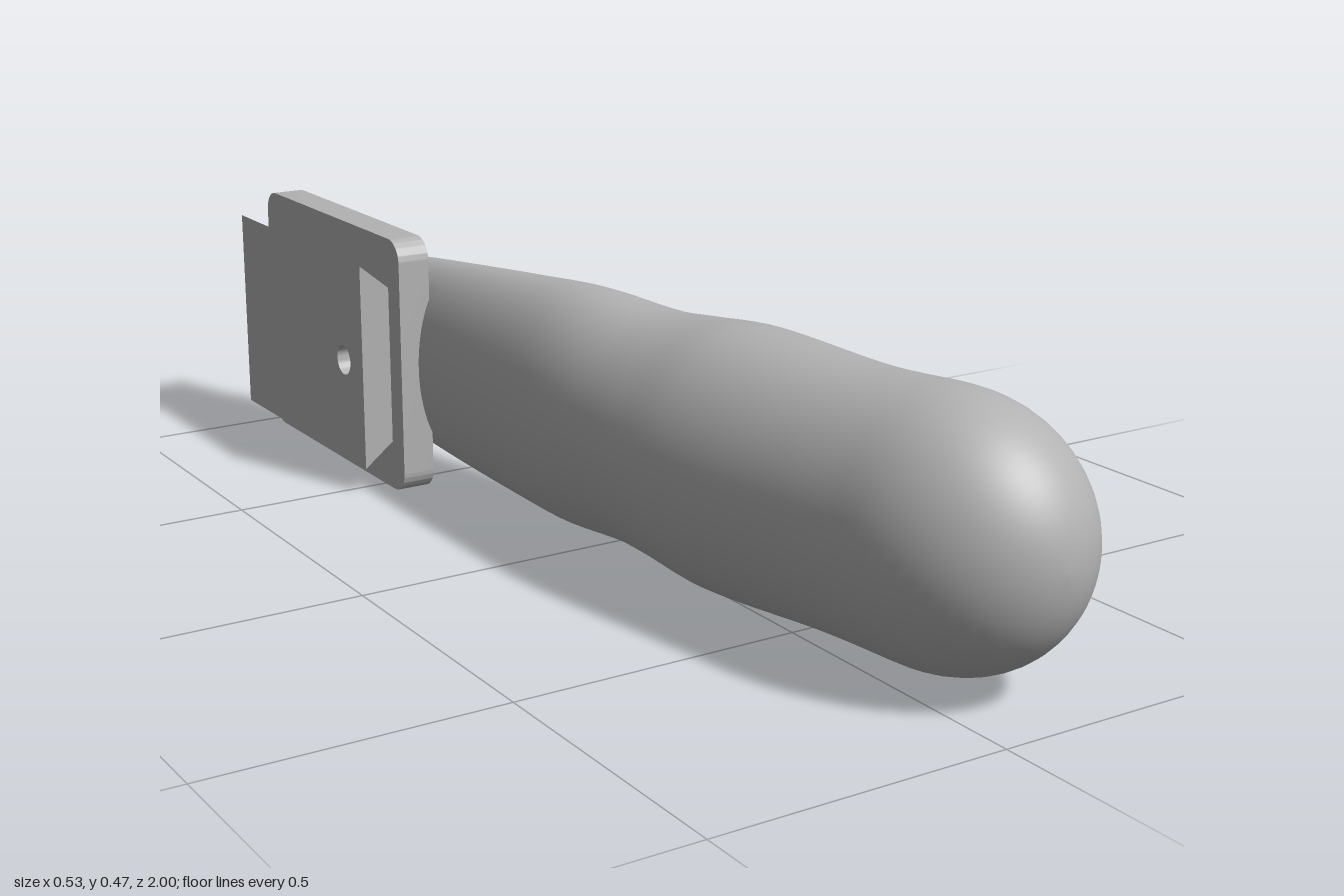
import * as THREE from 'three';
import { toCreasedNormals } from 'three/addons/utils/BufferGeometryUtils.js';

const MID_Y = 0.2375, HOLE_Z = -0.545, BORE_R = 0.073, SCREW_R = 0.028;

// Grip stations: z, left edge x, right edge x, half height
const STATIONS = [
  [-0.97, -0.175, -0.13, 0.098], [-0.9, -0.175, -0.112, 0.124], [-0.8, -0.175, -0.08, 0.141],
  [-0.6, -0.175, -0.022, 0.168], [-0.4, -0.175, 0.015, 0.188], [-0.2, -0.175, 0.06, 0.204],
  [-0.04, -0.176, 0.103, 0.213], [0.13, -0.177, 0.158, 0.204], [0.22, -0.177, 0.19, 0.21],
  [0.35, -0.168, 0.203, 0.223], [0.6, -0.128, 0.228, 0.213], [0.75, -0.105, 0.259, 0.217],
  [1, -0.082, 0.278, 0.217],
];
const CAP_Z = 0.75;

// Smooth interpolation of one station column
function column(z, c) {
  const S = STATIONS, last = S.length - 1;
  let i = 0;
  while (i < last - 1 && z > S[i + 1][0]) i++;
  const slope = k => {
    const a = S[Math.max(k - 1, 0)], b = S[Math.min(k + 1, last)];
    return (b[c] - a[c]) / (b[0] - a[0]);
  };
  const d = S[i + 1][0] - S[i][0], t = (z - S[i][0]) / d, t2 = t * t, t3 = t2 * t;
  return S[i][c] * (2 * t3 - 3 * t2 + 1) + S[i + 1][c] * (3 * t2 - 2 * t3)
    + d * (slope(i) * (t3 - 2 * t2 + t) + slope(i + 1) * (t3 - t2));
}

// Elliptical section at z, closing to a rounded tip at the front
function section(z) {
  const l = column(z, 1), r = column(z, 2);
  const t = Math.max(0, (z - CAP_Z) / (1 - CAP_Z));
  const k = Math.sqrt(Math.max(0, 1 - Math.pow(t, 2.2)));
  return { x: (l + r) / 2, a: k * (r - l) / 2, b: k * column(z, 3) };
}

// Grip skin with a round opening on each side for the screw
function gripGeometries() {
  const N = 64, zs = [], pos = [], idx = [], wallPos = [], wallIdx = [];
  for (let j = 0; j <= 86; j++) zs.push(-0.97 + j * 0.02);
  for (let k = 1; k <= 16; k++) zs.push(CAP_Z + (1 - CAP_Z) * Math.sin(k / 16 * Math.PI / 2));
  const vert = (i, j) => j * N + ((i + N) % N);
  for (const z of zs) {
    const s = section(z);
    for (let i = 0; i < N; i++) {
      const th = i / N * Math.PI * 2;
      pos.push(s.x + s.a * Math.cos(th), MID_Y + s.b * Math.sin(th), z);
    }
  }
  const W = 9, J0 = 15, J1 = 27;
  const inWindow = (i, j) => j >= J0 && j < J1 &&
    (i < W || i >= N - W || (i >= N / 2 - W && i < N / 2 + W));
  for (let j = 0; j < zs.length - 1; j++) for (let i = 0; i < N; i++) {
    if (inWindow(i, j)) continue;
    const a = vert(i, j), b = vert(i + 1, j), c = vert(i, j + 1), d = vert(i + 1, j + 1);
    idx.push(a, b, c, b, d, c);
  }
  // flat tail end
  const tail = pos.length / 3, s0 = section(-0.97);
  for (let i = 0; i < N; i++) pos.push(pos[i * 3], pos[i * 3 + 1], pos[i * 3 + 2]);
  pos.push(s0.x, MID_Y, -0.97);
  for (let i = 0; i < N; i++) idx.push(tail + N, tail + (i + 1) % N, tail + i);

  // blend each skipped window into a circle lying on the skin
  for (const [mid, side, R, floorX] of [[0, 1, BORE_R, -0.075], [N / 2, -1, SCREW_R, -0.16]]) {
    const loop = [];
    for (let i = -W; i < W; i++) loop.push(vert(mid + i, J0));
    for (let j = J0; j < J1; j++) loop.push(vert(mid + W, j));
    for (let i = W; i > -W; i--) loop.push(vert(mid + i, J1));
    for (let j = J1; j > J0; j--) loop.push(vert(mid - W, j));
    const n = loop.length, STEPS = 5;
    let prev = loop;
    for (let k = 1; k <= STEPS; k++) {
      const ring = loop.map(v => {
        const y0 = pos[v * 3 + 1] - MID_Y, z0 = pos[v * 3 + 2] - HOLE_Z;
        const f = 1 + (R / Math.hypot(y0, z0) - 1) * k / STEPS;
        const y = y0 * f, z = HOLE_Z + z0 * f, s = section(z);
        const x = s.x + side * s.a * Math.sqrt(Math.max(0, 1 - (y / s.b) ** 2));
        pos.push(x, MID_Y + y, z);
        if (k === STEPS) wallPos.push(x, MID_Y + y, z, floorX, MID_Y + y, z);
        return pos.length / 3 - 1;
      });
      for (let m = 0; m < n; m++) {
        const m2 = (m + 1) % n;
        idx.push(prev[m], prev[m2], ring[m], prev[m2], ring[m2], ring[m]);
      }
      prev = ring;
    }
    const base = wallPos.length / 3 - 2 * n;
    for (let m = 0; m < n; m++) {
      const a = base + 2 * m, b = base + 2 * ((m + 1) % n);
      wallIdx.push(a, b, a + 1, b, b + 1, a + 1);
    }
  }
  return [[pos, idx], [wallPos, wallIdx]].map(([p, ix]) => {
    const g = new THREE.BufferGeometry();
    g.setAttribute('position', new THREE.Float32BufferAttribute(p, 3));
    g.setIndex(ix);
    g.computeVertexNormals();
    return g;
  });
}

// Rounded slab in the side plane, drilled for the screw, thickness along x
function drilledSlab(z0, z1, y0, y1, r, x0, x1) {
  const s = new THREE.Shape(), a = -z1, b = -z0;
  s.moveTo(a + r, y0);
  s.lineTo(b - r, y0);
  if (r) s.absarc(b - r, y0 + r, r, -Math.PI / 2, 0);
  s.lineTo(b, y1 - r);
  if (r) s.absarc(b - r, y1 - r, r, 0, Math.PI / 2);
  s.lineTo(a + r, y1);
  if (r) s.absarc(a + r, y1 - r, r, Math.PI / 2, Math.PI);
  s.lineTo(a, y0 + r);
  if (r) s.absarc(a + r, y0 + r, r, Math.PI, Math.PI * 1.5);
  s.holes.push(new THREE.Path().absarc(-HOLE_Z, MID_Y, SCREW_R, 0, Math.PI * 2, true));
  const g = new THREE.ExtrudeGeometry(s, { depth: x1 - x0, bevelEnabled: false, curveSegments: 12 });
  return g.rotateY(Math.PI / 2).translate(x0, 0, 0);
}

export function createModel() {
  const group = new THREE.Group();
  const grey = new THREE.MeshStandardMaterial({ name: 'grey', color: 0xb2b2b2, side: THREE.DoubleSide });
  const add = (name, geometry) => {
    const mesh = new THREE.Mesh(geometry, grey);
    mesh.name = name;
    group.add(mesh);
    return mesh;
  };

  const [skin, walls] = gripGeometries();
  add('grip', skin);
  add('holeWalls', walls);

  // Stepped screw seat with its raised collar
  const profile = [
    [0.103, -0.1], [0.103, -0.026], [BORE_R, -0.026], [BORE_R, -0.075], [0.05, -0.075],
    [0.05, -0.1], [SCREW_R, -0.1], [SCREW_R, -0.2],
  ].map(p => new THREE.Vector2(...p));
  const seat = new THREE.LatheGeometry(profile, 48).rotateZ(-Math.PI / 2);
  add('screwSeat', toCreasedNormals(seat, 0.6)).position.set(0, MID_Y, HOLE_Z);

  add('mountingPlate', toCreasedNormals(drilledSlab(-1, -0.42, 0, 0.475, 0.04, -0.21, -0.15), 0.6));

  // Dovetail rail, narrowed where it meets the plate
  const rail = drilledSlab(-1, -0.465, 0.047, 0.43, 0, -0.266, -0.21);
  const p = rail.attributes.position;
  for (let i = 0; i < p.count; i++) {
    const dy = p.getY(i) - MID_Y;
    if (p.getX(i) > -0.23 && Math.abs(dy) > 0.1) p.setY(i, MID_Y + Math.sign(dy) * 0.146);
  }
  add('dovetailRail', toCreasedNormals(rail, 0.6));
  return group;
}
